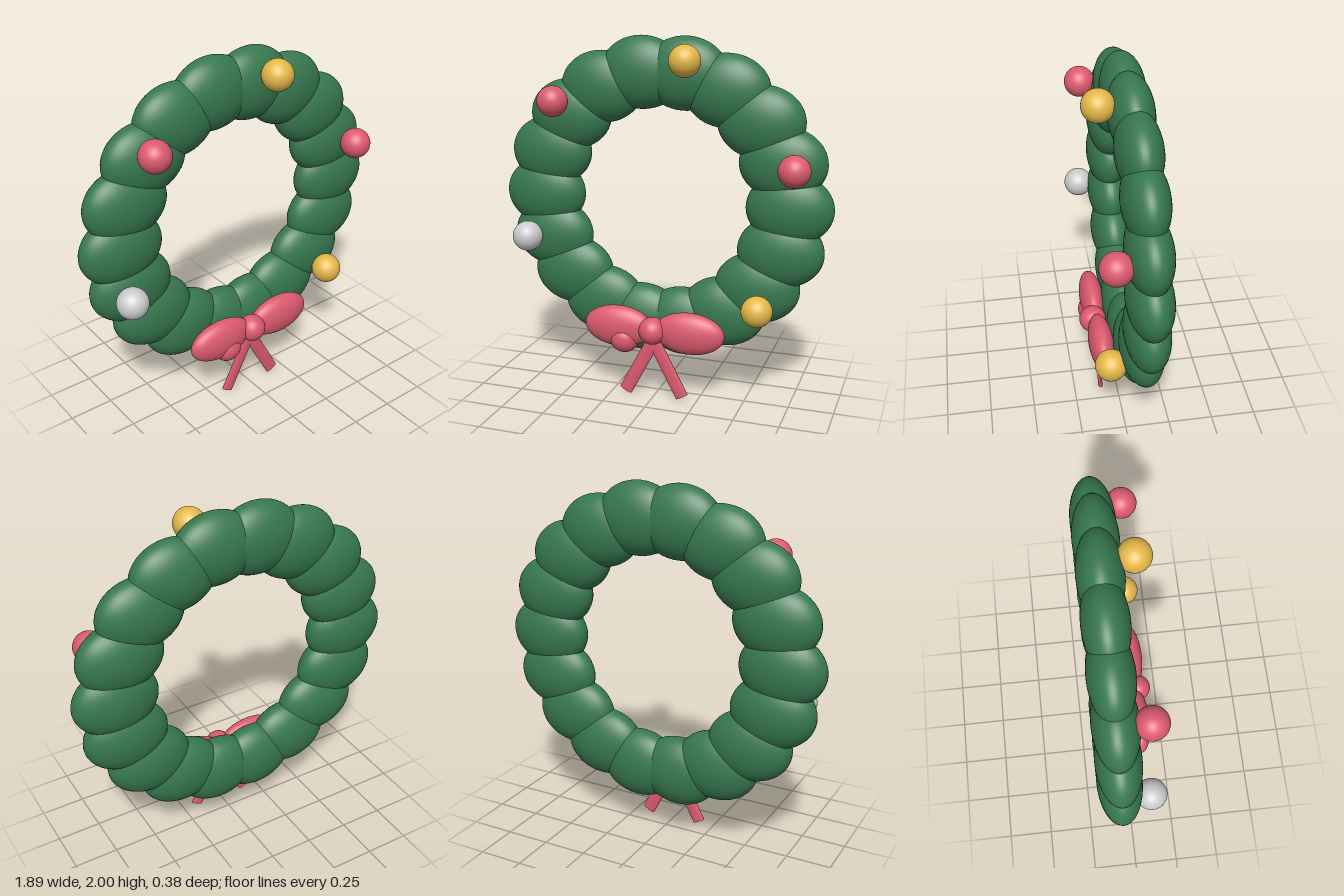
import * as THREE from 'three';

const material = (color) => new THREE.MeshStandardMaterial({ color });

export function createModel() {
  const model = new THREE.Group();
  model.name = 'wreath';
  const green = material(0x37784f);
  const red = material(0xdc5a6e);
  const gold = material(0xe6b84a);
  const silver = material(0xcccccc);

  const sphere = new THREE.SphereGeometry(1, 40, 28);
  const ellipsoid = (name, parent, mat, position, radii) => {
    const mesh = new THREE.Mesh(sphere, mat);
    mesh.name = name;
    mesh.position.set(...position);
    mesh.scale.set(...radii);
    parent.add(mesh);
  };

  // Ring of overlapping foliage puffs, all kept upright
  const foliage = new THREE.Group();
  foliage.name = 'foliage';
  model.add(foliage);
  const count = 18, ringRadius = 0.707, ringY = 1.105;
  for (let i = 0; i < count; i++) {
    const a = (i / count) * Math.PI * 2;
    ellipsoid('foliagePuff', foliage, green,
      [ringRadius * Math.cos(a), ringY + ringRadius * Math.sin(a), -0.072],
      [0.238, 0.198, 0.119]);
  }

  // Baubles on the front face
  const baubles = new THREE.Group();
  baubles.name = 'baubles';
  model.add(baubles);
  for (const [x, y, mat] of [
    [0.17, 1.88, gold], [-0.58, 1.645, red], [0.755, 1.34, red],
    [-0.755, 0.875, silver], [0.58, 0.57, gold], [-0.17, 0.335, red],
  ]) ellipsoid('bauble', baubles, mat, [x, y, 0.097], [0.085, 0.085, 0.085]);

  // Bow: knot, two loops and two flattened tails
  const bow = new THREE.Group();
  bow.name = 'bow';
  model.add(bow);
  ellipsoid('bowKnot', bow, red, [0, 0.4, 0.117], [0.077, 0.077, 0.077]);

  const tailLength = 0.36, tailAngle = 0.485, tailRadius = 0.038;
  const tailGeometry = new THREE.CylinderGeometry(tailRadius, tailRadius, tailLength, 28);
  tailGeometry.translate(0, tailLength / 2, 0);
  for (const side of [-1, 1]) {
    ellipsoid('bowLoop', bow, red, [side * 0.206, 0.4, 0.098], [0.2, 0.119, 0.07]);
    const tail = new THREE.Mesh(tailGeometry, red);
    tail.name = 'bowTail';
    tail.position.set(side * 0.167, tailRadius * Math.sin(tailAngle), 0.098);
    tail.rotation.z = side * tailAngle;
    tail.scale.z = 0.32;
    bow.add(tail);
  }
  return model;
}
